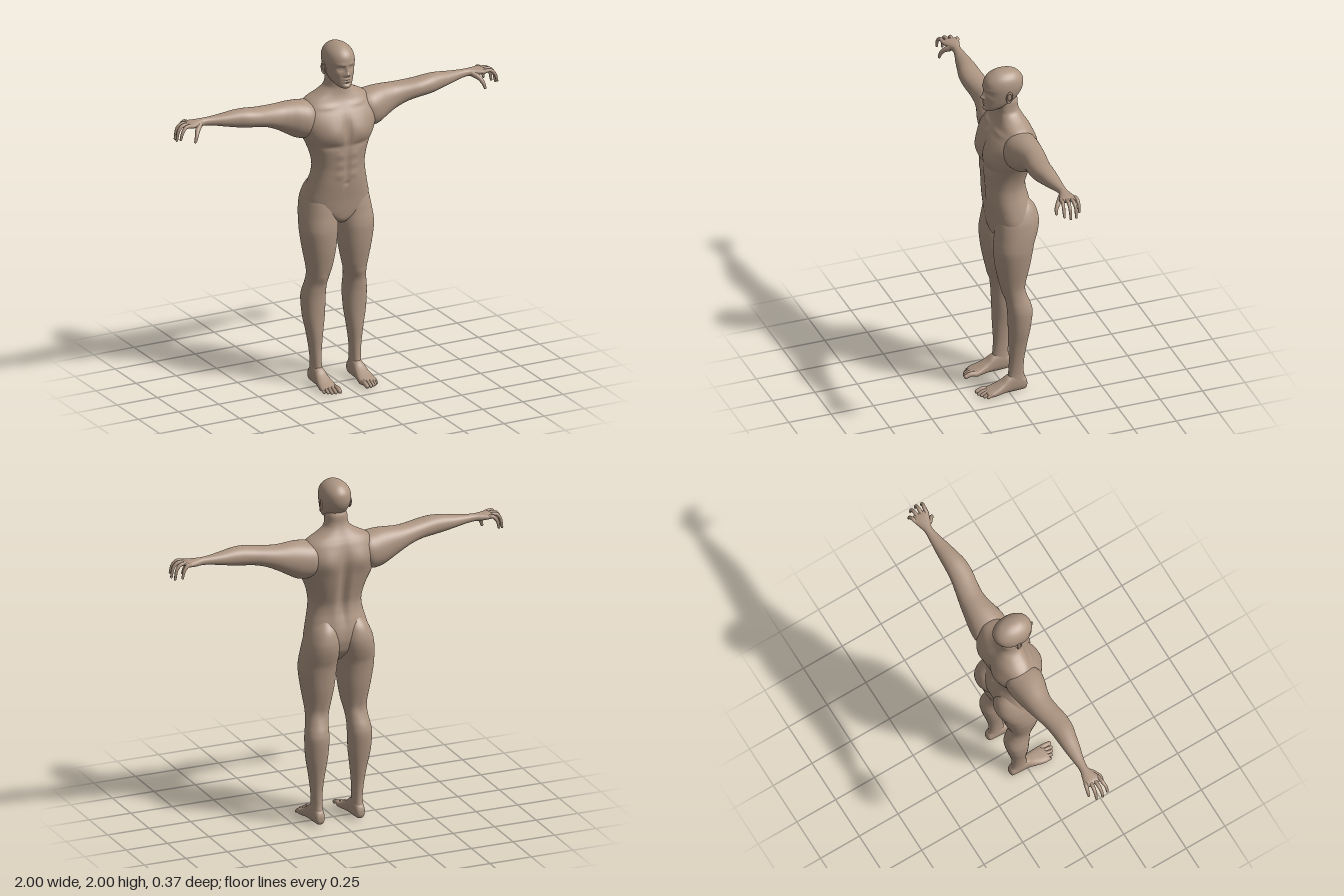
import * as THREE from 'three';
import { mergeGeometries } from 'three/addons/utils/BufferGeometryUtils.js';

const skin = new THREE.MeshStandardMaterial({ color: 0xad9582 });
skin.name = 'skin';

// Maps (along, a, b) of a cross-section to x, y, z for each loft axis
const AXES = {
  x: (t, a, b) => new THREE.Vector3(t, b, a),
  y: (t, a, b) => new THREE.Vector3(a, t, b),
  z: (t, a, b) => new THREE.Vector3(b, a, t),
};

const smooth = (a, b, c, d, t) =>
  0.5 * (2 * b + (c - a) * t + (2 * a - 5 * b + 4 * c - d) * t * t + (3 * b - a - 3 * c + d) * t * t * t);

// Closed loft through rows [along, aMin, aMax, bMin, bMax], squareness n, with soft bumps in depth
function loft(axis, rows, { n = 2, seg = 48, sub = 6, bumps = [] } = {}) {
  const map = AXES[axis], pos = [], index = [];
  const at = (i) => rows[Math.max(0, Math.min(rows.length - 1, i))];
  const rings = (rows.length - 1) * sub + 1;
  const power = (v) => Math.sign(v) * Math.abs(v) ** (2 / n);
  for (let r = 0; r < rings; r++) {
    const i = Math.min(Math.floor(r / sub), rows.length - 2), f = r / sub - i;
    const [t, a0, a1, b0, b1] = rows[0].map((_, k) =>
      smooth(at(i - 1)[k], at(i)[k], at(i + 1)[k], at(i + 2)[k], f));
    for (let j = 0; j < seg; j++) {
      const q = (j / seg) * Math.PI * 2, s = Math.sin(q);
      const p = map(t, (a0 + a1) / 2 + ((a1 - a0) / 2) * power(Math.cos(q)),
        (b0 + b1) / 2 + ((b1 - b0) / 2) * power(s));
      let dz = 0;
      for (const [x, y, sx, sy, side, amp] of bumps) {
        const w = Math.sqrt(Math.max(0, s * side));
        dz += side * amp * w * Math.exp(-(((Math.abs(p.x) - x) / sx) ** 2) - ((p.y - y) / sy) ** 2);
      }
      pos.push(p.x, p.y, p.z + dz);
    }
  }
  for (let r = 0; r < rings - 1; r++) for (let j = 0; j < seg; j++) {
    const a = r * seg + j, b = r * seg + ((j + 1) % seg), c = a + seg, d = b + seg;
    index.push(a, c, b, b, c, d);
  }
  // End caps
  for (const [row, base, flip] of [[rows[0], 0, false], [rows.at(-1), (rings - 1) * seg, true]]) {
    const mid = map(row[0], (row[1] + row[2]) / 2, (row[3] + row[4]) / 2), m = pos.length / 3;
    pos.push(mid.x, mid.y, mid.z);
    for (let j = 0; j < seg; j++) {
      const a = base + j, b = base + ((j + 1) % seg);
      index.push(m, ...(flip ? [b, a] : [a, b]));
    }
  }
  const g = new THREE.BufferGeometry();
  g.setAttribute('position', new THREE.Float32BufferAttribute(pos, 3));
  g.setIndex(index);
  g.computeVertexNormals();
  return g;
}

// Tapered, round-tipped digit along a curve
function digit(points, r0, r1) {
  const curve = new THREE.CatmullRomCurve3(points.map((p) => new THREE.Vector3(...p)));
  const steps = 14, radial = 12;
  const tube = new THREE.TubeGeometry(curve, steps, 1, radial);
  const p = tube.attributes.position, v = new THREE.Vector3();
  for (let i = 0; i <= steps; i++) {
    const c = curve.getPointAt(i / steps), r = r0 + ((r1 - r0) * i) / steps;
    for (let j = 0; j <= radial; j++) {
      const k = i * (radial + 1) + j;
      v.fromBufferAttribute(p, k).sub(c).multiplyScalar(r).add(c);
      p.setXYZ(k, v.x, v.y, v.z);
    }
  }
  const tip = new THREE.SphereGeometry(r1, 12, 8).translate(...points.at(-1));
  return mergeGeometries([tube, tip]);
}

// Mirror copy across x = 0 with corrected winding
function mirrored(g) {
  const m = g.clone().scale(-1, 1, 1), ix = m.index.array;
  const nrm = m.attributes.normal, src = g.attributes.normal;
  for (let i = 0; i < nrm.count; i++) nrm.setXYZ(i, -src.getX(i), src.getY(i), src.getZ(i));
  for (let i = 0; i < ix.length; i += 3) [ix[i + 1], ix[i + 2]] = [ix[i + 2], ix[i + 1]];
  return m;
}

export function createModel() {
  const body = new THREE.Group();
  body.name = 'humanFigure';
  const add = (name, g) => {
    const m = new THREE.Mesh(g, skin);
    m.name = name;
    body.add(m);
  };
  const pair = (name, g) => {
    add('left' + name, g);
    add('right' + name, mirrored(g));
  };
  const symmetric = (rows) => rows.map(([y, w, zb, zf]) => [y, -w, w, zb, zf]);

  // Torso and neck: height, half width, back, front
  add('torso', loft('y', symmetric([
    [0.955, 0.03, -0.07, 0.045], [0.98, 0.08, -0.1, 0.062], [1.02, 0.16, -0.135, 0.07],
    [1.06, 0.186, -0.15, 0.075], [1.1, 0.19, -0.158, 0.08], [1.15, 0.179, -0.155, 0.088],
    [1.2, 0.166, -0.142, 0.095], [1.25, 0.155, -0.127, 0.098], [1.3, 0.151, -0.124, 0.1],
    [1.36, 0.161, -0.138, 0.105], [1.42, 0.183, -0.152, 0.108], [1.48, 0.212, -0.163, 0.112],
    [1.55, 0.232, -0.172, 0.103], [1.6, 0.228, -0.168, 0.083], [1.65, 0.203, -0.153, 0.05],
    [1.68, 0.175, -0.138, 0.034], [1.71, 0.118, -0.12, 0.025], [1.74, 0.076, -0.105, 0.022],
    [1.77, 0.064, -0.096, 0.026], [1.81, 0.06, -0.094, 0.03], [1.84, 0.045, -0.08, 0.02],
  ]), { n: 2.3, seg: 96, bumps: [
    [0.085, 1.5, 0.07, 0.055, 1, 0.016], [0, 1.51, 0.014, 0.08, 1, -0.016], // chest
    [0.09, 1.425, 0.07, 0.015, 1, -0.008], [0.1, 1.645, 0.06, 0.012, 1, 0.006],
    [0, 1.29, 0.01, 0.1, 1, -0.006], [0, 1.2, 0.011, 0.011, 1, -0.009], // midline and navel
    ...[1.25, 1.31, 1.37].map((y) => [0.042, y, 0.026, 0.021, 1, 0.005]), // stomach
    [0, 1.42, 0.026, 0.2, -1, -0.022], [0.1, 1.56, 0.055, 0.065, -1, 0.014], // spine and blades
    [0.045, 1.26, 0.03, 0.08, -1, 0.007],
  ] }));

  // Head with face relief
  add('head', loft('y', symmetric([
    [1.757, 0.014, 0.05, 0.088], [1.766, 0.034, 0.02, 0.098], [1.785, 0.052, -0.03, 0.1],
    [1.815, 0.067, -0.075, 0.098], [1.85, 0.077, -0.106, 0.097], [1.88, 0.083, -0.122, 0.098],
    [1.91, 0.085, -0.128, 0.1], [1.94, 0.08, -0.125, 0.094], [1.965, 0.068, -0.11, 0.077],
    [1.985, 0.047, -0.086, 0.05], [1.996, 0.023, -0.055, 0.022], [2, 0.002, -0.022, -0.018],
  ]), { n: 2.1, seg: 128, sub: 8, bumps: [
    [0, 1.843, 0.013, 0.012, 1, 0.02], [0, 1.865, 0.009, 0.022, 1, 0.01], // nose
    [0.014, 1.837, 0.008, 0.007, 1, 0.006],
    [0.033, 1.877, 0.018, 0.012, 1, -0.012], [0.033, 1.876, 0.011, 0.006, 1, 0.006], // eyes
    [0.03, 1.9, 0.025, 0.009, 1, 0.004], [0.05, 1.845, 0.016, 0.016, 1, 0.005], // brow, cheeks
    [0, 1.815, 0.022, 0.006, 1, 0.007], [0, 1.801, 0.018, 0.006, 1, 0.007], // lips
    [0, 1.808, 0.022, 0.0025, 1, -0.005], [0, 1.789, 0.02, 0.006, 1, -0.005],
    [0, 1.772, 0.02, 0.01, 1, 0.005], // chin
  ] }));

  // Ears
  const earParts = [
    new THREE.TorusGeometry(0.02, 0.005, 8, 24).scale(0.75, 1.45, 1),
    new THREE.SphereGeometry(0.02, 16, 12).scale(0.7, 1.35, 0.35).translate(0, 0, -0.004),
  ];
  pair('Ear', mergeGeometries(earParts).rotateY(Math.PI / 2 - 0.35).rotateX(-0.12).translate(0.086, 1.86, -0.02));

  // Arm from shoulder to knuckles: x, back, front, bottom, top
  pair('Arm', loft('x', [
    [0.1, -0.125, 0.02, 1.52, 1.65], [0.16, -0.15, 0.045, 1.48, 1.672], [0.2, -0.152, 0.055, 1.465, 1.68],
    [0.25, -0.146, 0.046, 1.472, 1.685], [0.3, -0.138, 0.03, 1.498, 1.685], [0.36, -0.128, 0.018, 1.533, 1.682],
    [0.43, -0.114, 0.022, 1.565, 1.685], [0.5, -0.1, 0.031, 1.583, 1.692], [0.57, -0.093, 0.029, 1.592, 1.7],
    [0.63, -0.09, 0.015, 1.602, 1.699], [0.7, -0.086, -0.002, 1.617, 1.69], [0.77, -0.08, -0.022, 1.632, 1.683],
    [0.82, -0.078, -0.03, 1.638, 1.681], [0.86, -0.088, -0.018, 1.637, 1.68], [0.9, -0.1, -0.002, 1.642, 1.678],
    [0.92, -0.101, 0, 1.646, 1.674], [0.93, -0.09, -0.012, 1.655, 1.668],
  ], { n: 2.1 }));

  // Fingers: base z, tip x, tip y, tip z
  const fingers = [[-0.012, 0.985, 1.6, 0], [-0.038, 0.992, 1.585, -0.035],
    [-0.064, 0.985, 1.583, -0.07], [-0.089, 0.953, 1.595, -0.1]].map(([z, x, y, tz]) =>
    digit([[0.9, 1.66, z], [x - 0.038, 1.665, (z + tz) / 2], [x - 0.012, 1.64, tz], [x, y, tz]], 0.0125, 0.007));
  fingers.push(digit([[0.85, 1.655, -0.035], [0.878, 1.632, -0.005], [0.893, 1.605, 0.012], [0.902, 1.578, 0.016]], 0.018, 0.008));
  pair('Fingers', mergeGeometries(fingers));

  // Leg with buttock: height, inner, outer, back, front
  pair('Leg', loft('y', [
    [0.03, 0.096, 0.145, -0.085, 0], [0.07, 0.091, 0.151, -0.096, 0.008], [0.12, 0.093, 0.15, -0.088, 0],
    [0.2, 0.09, 0.157, -0.09, -0.004], [0.3, 0.079, 0.172, -0.105, 0], [0.4, 0.065, 0.191, -0.122, 0.001],
    [0.5, 0.06, 0.197, -0.134, 0.005], [0.55, 0.06, 0.192, -0.127, 0.01], [0.6, 0.057, 0.183, -0.109, 0.018],
    [0.65, 0.048, 0.18, -0.097, 0.033], [0.7, 0.036, 0.185, -0.102, 0.049], [0.8, 0.018, 0.203, -0.124, 0.069],
    [0.9, 0.008, 0.217, -0.14, 0.079], [0.95, 0.004, 0.217, -0.15, 0.077], [1, 0.001, 0.212, -0.167, 0.07],
    [1.05, 0, 0.204, -0.179, 0.064], [1.1, 0.002, 0.192, -0.179, 0.055], [1.16, 0.018, 0.165, -0.16, 0.03],
    [1.21, 0.05, 0.125, -0.12, 0],
  ], { n: 2.15, bumps: [[0.115, 0.635, 0.03, 0.035, 1, 0.007], [0.115, 0.65, 0.02, 0.05, -1, -0.004]] }));

  // Foot: along z, bottom, top, inner, outer
  pair('Foot', loft('z', [
    [-0.107, 0.025, 0.05, 0.11, 0.133], [-0.095, 0.006, 0.08, 0.095, 0.147], [-0.05, 0, 0.115, 0.089, 0.152],
    [0, 0, 0.104, 0.086, 0.155], [0.04, 0.002, 0.074, 0.08, 0.163], [0.08, 0, 0.052, 0.073, 0.171],
    [0.115, 0, 0.038, 0.07, 0.172], [0.135, 0.003, 0.03, 0.076, 0.164],
  ], { n: 2.4 }));

  // Toes, big to small: x, tip z, radius
  pair('Toes', mergeGeometries([[0.085, 0.172, 0.015], [0.109, 0.17, 0.0115], [0.129, 0.162, 0.011],
    [0.147, 0.15, 0.0105], [0.163, 0.135, 0.01]].map(([x, z, r]) =>
    digit([[x, 0.018, 0.1], [x, 0.024, z - 0.03], [x, r, z]], r, r * 0.85))));

  return body;
}
